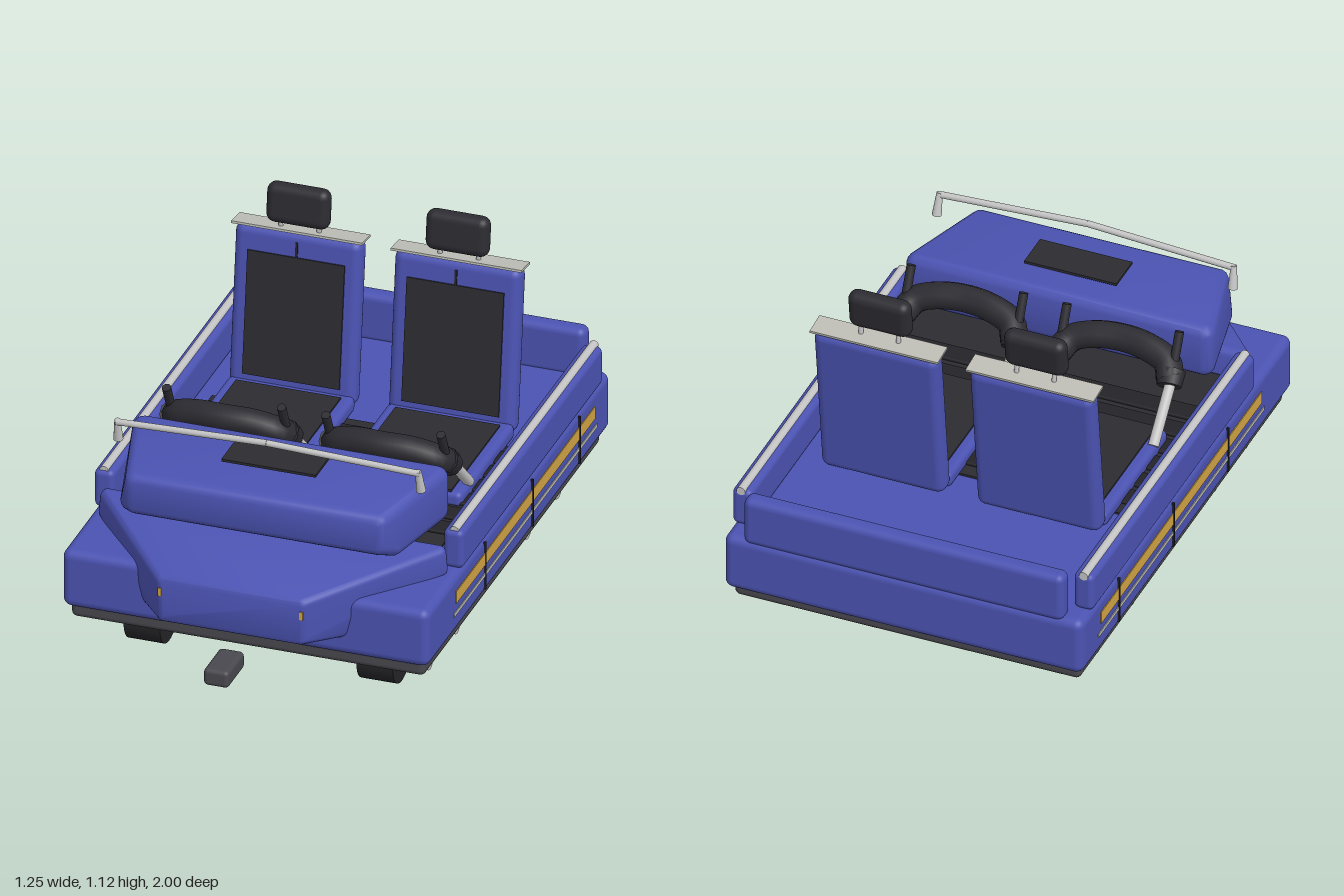
import * as THREE from 'three';
import { toCreasedNormals } from 'three/addons/utils/BufferGeometryUtils.js';
import { RoundedBoxGeometry } from 'three/addons/geometries/RoundedBoxGeometry.js';
import { ConvexGeometry } from 'three/addons/geometries/ConvexGeometry.js';

const mat = (name, color) => {
  const m = new THREE.MeshStandardMaterial({ color });
  m.name = name;
  return m;
};

export function createModel() {
  const blue = mat('blue paint', 0x4b53b2);
  const dark = mat('dark upholstery', 0x2b2b31);
  const rubber = mat('black rubber', 0x242428);
  const grey = mat('grey plastic', 0x48484e);
  const silver = mat('silver metal', 0xc4c4c4);
  const plate = mat('pale trim', 0xbdbdb6);
  const gold = mat('gold stripe', 0xd2a444);

  const root = new THREE.Group();
  root.name = 'vehicle';

  const add = (parent, name, geo, material) => {
    const m = new THREE.Mesh(geo, material);
    m.name = name;
    parent.add(m);
    return m;
  };
  // Box given by its min and max on each axis; r rounds the edges
  const box = (parent, name, material, [x0, x1], [y0, y1], [z0, z1], r = 0) => {
    const s = [x1 - x0, y1 - y0, z1 - z0];
    const geo = r ? new RoundedBoxGeometry(...s, 3, r) : new THREE.BoxGeometry(...s);
    const m = add(parent, name, geo, material);
    m.position.set((x0 + x1) / 2, (y0 + y1) / 2, (z0 + z1) / 2);
    return m;
  };
  // Round bar between two points
  const rod = (parent, name, material, a, b, r0, r1 = r0, sides = 14) => {
    const p = new THREE.Vector3(...a), q = new THREE.Vector3(...b);
    const m = add(parent, name, new THREE.CylinderGeometry(r1, r0, p.distanceTo(q), sides), material);
    m.position.copy(p).lerp(q, 0.5);
    m.quaternion.setFromUnitVectors(new THREE.Vector3(0, 1, 0), q.sub(p).normalize());
    return m;
  };
  // Rounded convex block: a small ball at each mirrored corner, wrapped in a hull
  const softHull = (corners, r) => {
    const ball = new THREE.IcosahedronGeometry(r, 2).getAttribute('position');
    const seen = new Map();
    for (let i = 0; i < ball.count; i++) {
      const v = new THREE.Vector3().fromBufferAttribute(ball, i);
      seen.set(v.toArray().map((n) => Math.round(n * 1e5)).join(), v);
    }
    const pts = [];
    for (const [x, y, z] of corners) {
      for (const s of [-1, 1]) {
        for (const v of seen.values()) pts.push(new THREE.Vector3(s * x, y, z).add(v));
      }
    }
    return toCreasedNormals(new ConvexGeometry(pts), 0.6);
  };

  // Hull and undertray
  box(root, 'undertray', grey, [-0.6, 0.6], [0.135, 0.2], [-0.965, 0.7], 0.02);
  box(root, 'undersideSheet', rubber, [-0.57, 0.57], [0.131, 0.137], [-0.935, 0.67]);
  box(root, 'body', blue, [-0.622, 0.622], [0.18, 0.385], [-1, 0.725], 0.03);
  box(root, 'rearWall', blue, [-0.555, 0.555], [0.37, 0.545], [-1, -0.935], 0.025);
  box(root, 'hitch', grey, [-0.043, 0.043], [0.142, 0.202], [0.84, 1], 0.015);

  // Wedge nose and dashboard cowl
  add(root, 'nose', softHull([
    [0.56, 0.455, 0.455], [0.565, 0.4, 0.455], [0.5, 0.27, 0.455],
    [0.235, 0.405, 0.835], [0.23, 0.285, 0.835], [0.32, 0.27, 0.72],
  ], 0.025), blue);
  add(root, 'dashboard', softHull([
    [0.495, 0.635, 0.295], [0.495, 0.52, 0.295],
    [0.41, 0.615, 0.605], [0.41, 0.54, 0.605], [0.44, 0.52, 0.56],
  ], 0.038), blue);
  box(root, 'dashScreen', dark, [-0.16, 0.16], [0.678, 0.687], [0.37, 0.5]);
  box(root, 'dashScreenMount', dark, [-0.06, 0.06], [0.62, 0.68], [0.4, 0.46]);

  // Floor with ribs
  box(root, 'floor', dark, [-0.515, 0.515], [0.38, 0.392], [-0.4, 0.42]);
  for (let z = -0.35; z < 0.25; z += 0.1) {
    box(root, 'floorRib', rubber, [-0.51, 0.51], [0.39, 0.402], [z, z + 0.075], 0.005);
  }

  for (const s of [-1, 1]) {
    const span = (a, b) => (s > 0 ? [a, b] : [-b, -a]);

    // Side wall with handrail
    box(root, 'sideWall', blue, span(0.558, 0.626), [0.38, 0.517], [-0.92, 0.41], 0.02);
    rod(root, 'handrail', silver, [s * 0.594, 0.514, -0.92], [s * 0.594, 0.514, 0.4], 0.015);

    // Painted side trim and panel seams
    box(root, 'goldStripe', gold, span(0.619, 0.625), [0.288, 0.332], [-0.845, 0.465]);
    box(root, 'paleStripe', plate, span(0.619, 0.625), [0.247, 0.26], [-0.865, 0.485]);
    for (const z of [0.19, -0.255, -0.7]) {
      box(root, 'panelSeam', rubber, span(0.619, 0.627), [0.2, 0.37], [z - 0.004, z + 0.004]);
    }
    box(root, 'marker', gold, span(0.234, 0.246), [0.36, 0.388], [0.853, 0.862]);

    // Wheels, brackets and hubs
    for (const z of [0.51, 0.255, -0.415, -0.7]) {
      rod(root, 'wheel', rubber, [s * 0.333, 0.088, z], [s * 0.456, 0.088, z], 0.088, 0.088, 28);
      box(root, 'wheelBracket', grey, span(0.41, 0.535), [0.085, 0.15], [z - 0.09, z + 0.09], 0.02);
      rod(root, 'hub', silver, [s * 0.45, 0.09, z], [s * 0.552, 0.09, z], 0.031, 0.031, 12);
    }

    // Seat
    const seat = new THREE.Group();
    seat.name = 'seat';
    seat.position.x = s * 0.27;
    root.add(seat);
    box(seat, 'cushion', blue, [-0.215, 0.215], [0.38, 0.435], [-0.48, 0.03], 0.02);
    box(seat, 'cushionPad', dark, [-0.178, 0.178], [0.43, 0.441], [-0.44, 0.02]);

    // Reclined backrest, built upright and tilted about its foot
    const back = new THREE.Group();
    back.name = 'backrest';
    back.position.set(0, 0.39, -0.495);
    back.rotation.x = -0.118;
    seat.add(back);
    box(back, 'backShell', blue, [-0.215, 0.215], [0, 0.57], [-0.037, 0.037], 0.03);
    box(back, 'backPad', dark, [-0.165, 0.165], [0.06, 0.487], [0.034, 0.042]);
    box(back, 'backSeam', rubber, [-0.004, 0.004], [0.48, 0.538], [0.034, 0.041]);
    box(back, 'topPlate', plate, [-0.222, 0.222], [0.57, 0.578], [-0.035, 0.045]);
    for (const x of [-0.065, 0.065]) {
      rod(back, 'headrestPost', silver, [x, 0.56, 0.01], [x, 0.63, 0.025], 0.008);
    }
    box(back, 'headrest', dark, [-0.107, 0.107], [0.598, 0.735], [0.002, 0.064], 0.03);

    // Arched control yoke on two posts
    const yoke = new THREE.Group();
    yoke.name = 'controlYoke';
    yoke.position.x = s * 0.27;
    root.add(yoke);
    const arch = new THREE.CatmullRomCurve3([
      [-0.195, 0.58, 0.09], [-0.165, 0.615, 0.135], [-0.09, 0.638, 0.155],
      [0, 0.643, 0.165], [0.09, 0.638, 0.155], [0.165, 0.615, 0.135], [0.195, 0.58, 0.09],
    ].map((p) => new THREE.Vector3(...p)));
    add(yoke, 'yokeArch', new THREE.TubeGeometry(arch, 28, 0.046, 10), dark);
    for (const k of [-1, 1]) {
      rod(yoke, 'yokeGrip', dark, [k * 0.198, 0.567, 0.075], [k * 0.19, 0.6, 0.115], 0.04, 0.046, 10);
      rod(yoke, 'yokeStick', dark, [k * 0.195, 0.62, 0.12], [k * 0.195, 0.72, 0.168], 0.015);
      rod(yoke, 'yokePost', silver, [k * 0.205, 0.43, -0.07], [k * 0.2, 0.59, 0.095], 0.018);
    }

    // Wind bar half with flared foot
    rod(root, 'windBar', silver, [0, 0.782, 0.515], [s * 0.515, 0.76, 0.505], 0.011);
    rod(root, 'windBarFoot', silver, [s * 0.513, 0.69, 0.488], [s * 0.51, 0.768, 0.505], 0.016, 0.01);
  }

  return root;
}
